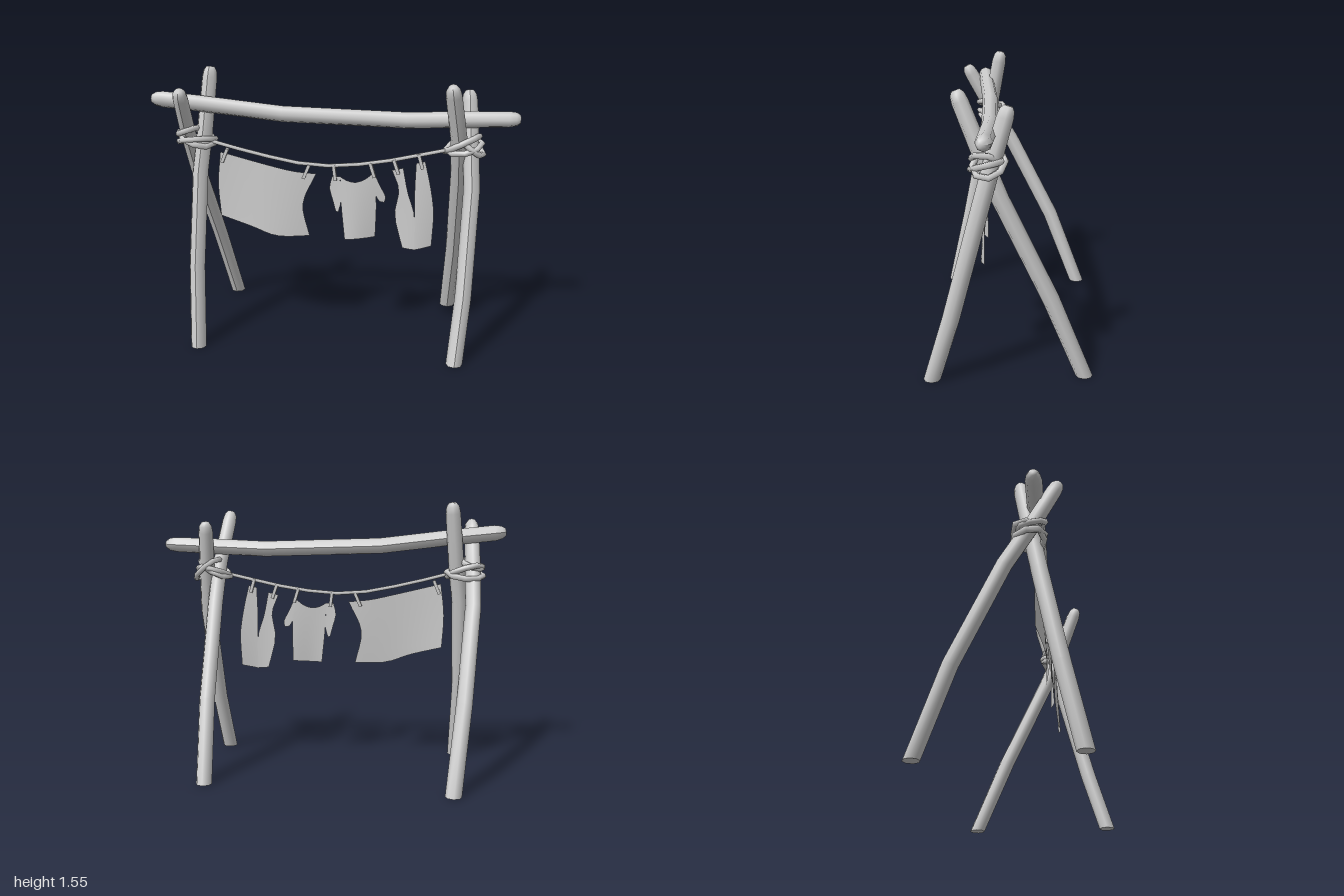
import * as THREE from 'three';

const V = (p) => new THREE.Vector3(...p);
const material = new THREE.MeshStandardMaterial({ color: 0xcccccc });
const clothMaterial = new THREE.MeshStandardMaterial({ color: 0xcccccc, side: THREE.DoubleSide });

function addMesh(parent, name, geometry, mat = material) {
  const mesh = new THREE.Mesh(geometry, mat);
  mesh.name = name;
  parent.add(mesh);
  return mesh;
}

// Grid of points (rows x cols) to a smooth surface
function gridGeometry(rows) {
  const cols = rows[0].length, index = [];
  for (let i = 0; i < rows.length - 1; i++) {
    for (let j = 0; j < cols - 1; j++) {
      const a = i * cols + j, b = a + 1, c = a + cols, d = c + 1;
      index.push(a, c, b, b, c, d);
    }
  }
  const geo = new THREE.BufferGeometry().setFromPoints(rows.flat());
  geo.setIndex(index);
  geo.computeVertexNormals();
  return geo;
}

// Bent eight-sided log; rounded tip at the end, flat foot or rounded tip at the start
function logGeometry(points, radius, flatFoot) {
  const pts = points.map(V), n = pts.length, rings = [];
  const ring = (center, dir, r) => {
    const ref = Math.abs(dir.y) > 0.7 ? V([1, 0, 0]) : V([0, 1, 0]);
    const u = ref.clone().cross(dir).normalize(), w = dir.clone().cross(u).normalize();
    const out = [];
    for (let k = 0; k <= 8; k++) {
      const a = -k / 8 * Math.PI * 2;
      out.push(center.clone().addScaledVector(u, r * Math.cos(a)).addScaledVector(w, r * Math.sin(a)));
    }
    rings.push(out);
  };
  const dirAt = (i) => pts[Math.min(i + 1, n - 1)].clone().sub(pts[Math.max(i - 1, 0)]).normalize();
  const tip = [[0, 0], [0, 0.5], [0.022, 0.82]];
  const first = flatFoot ? V([0, 1, 0]) : dirAt(0), last = dirAt(n - 1);
  if (flatFoot) {
    for (const r of [0, radius, radius]) ring(pts[0], first, r);
  } else {
    for (const [d, s] of tip) ring(pts[0].clone().addScaledVector(first, d), first, radius * s);
    ring(pts[0].clone().addScaledVector(first, 0.06), first, radius);
  }
  for (let i = 1; i < n - 1; i++) ring(pts[i], dirAt(i), radius);
  ring(pts[n - 1].clone().addScaledVector(last, -0.06), last, radius * 0.95);
  for (const [d, s] of tip.slice().reverse()) ring(pts[n - 1].clone().addScaledVector(last, -d), last, radius * s);
  return gridGeometry(rings);
}

function rope(points, radius, segments, closed) {
  const curve = new THREE.CatmullRomCurve3(points.map(V), closed);
  return new THREE.TubeGeometry(curve, segments, radius, 6, closed);
}

// Cloth lofted through outline curves listed top to bottom, each from -x to +x
function clothGeometry(curves, depth, nu = 8, nv = 8) {
  const splines = curves.map((c) => new THREE.CatmullRomCurve3(c.map(([x, y]) => V([x, y, 0]))));
  const rows = Array.from({ length: nv + 1 }, () => []);
  for (let j = 0; j <= nu; j++) {
    const column = new THREE.CatmullRomCurve3(splines.map((s) => s.getPoint(j / nu)));
    for (let i = 0; i <= nv; i++) {
      const p = column.getPoint(i / nv);
      p.z = depth(p.x, p.y);
      rows[i].push(p);
    }
  }
  return gridGeometry(rows);
}

export function createModel() {
  const model = new THREE.Group();
  model.name = 'clothesDryingRack';

  // Crossed support poles
  const poles = {
    rightFrontPole: [[-0.745, 0, 0.385], [-0.76, 0.45, 0.285], [-0.745, 0.98, 0.18], [-0.72, 1.2, 0.14], [-0.69, 1.55, 0.075]],
    rightBackPole: [[-0.71, 0, -0.435], [-0.765, 0.46, -0.255], [-0.815, 0.97, 0.01], [-0.815, 1.2, 0.155], [-0.81, 1.45, 0.295]],
    leftFrontPole: [[0.7, 0, 0.43], [0.735, 0.35, 0.325], [0.76, 0.92, 0.175], [0.745, 1.18, 0.105], [0.73, 1.44, 0.03]],
    leftBackPole: [[0.665, 0, -0.365], [0.685, 0.44, -0.185], [0.69, 0.97, 0.07], [0.68, 1.2, 0.165], [0.635, 1.5, 0.285]],
  };
  for (const [name, pts] of Object.entries(poles)) addMesh(model, name, logGeometry(pts, 0.045, true));

  // Sagging crossbar
  addMesh(model, 'crossbar', logGeometry([[-1, 1.385, 0.18], [-0.75, 1.36, 0.165], [-0.28, 1.305, 0.135],
    [0.4, 1.285, 0.125], [0.75, 1.3, 0.135], [1, 1.31, 0.145]], 0.045, false));

  // Rope lashings: tilted loops around each crossing [center, x radius, z radius, x slope, z slope]
  const lashings = [
    [[-0.77, 1.145, 0.13], 0.105, 0.085, 0.1, 0.25],
    [[-0.77, 1.16, 0.13], 0.1, 0.08, -0.3, -0.3],
    [[-0.81, 1.2, 0.15], 0.06, 0.07, 0.35, 0.2],
    [[0.7, 1.165, 0.13], 0.09, 0.08, 0.5, 0.2],
    [[0.745, 1.165, 0.125], 0.07, 0.08, -0.8, -0.2],
    [[0.71, 1.15, 0.13], 0.095, 0.085, 0.2, -0.25],
  ];
  lashings.forEach(([[cx, cy, cz], rx, rz, sx, sz], i) => {
    const pts = Array.from({ length: 8 }, (_, k) => {
      const x = rx * Math.cos(k * Math.PI / 4), z = rz * Math.sin(k * Math.PI / 4);
      return [cx + x, cy + sx * x + sz * z, cz + z];
    });
    addMesh(model, `lashing${i + 1}`, rope(pts, 0.017, 8, true));
  });

  // Washing line
  addMesh(model, 'washingLine', rope([[-0.7, 1.15, 0.15], [-0.4, 1.075, 0.15], [-0.1, 1.025, 0.15],
    [0.2, 1.045, 0.15], [0.65, 1.14, 0.15]], 0.011, 8, false));

  // Clothes pegs: [x, y, tilt]
  const pegs = [[-0.61, 1.065, -0.4], [-0.15, 0.987, -0.4], [0.008, 0.985, 0.12],
    [0.217, 1.008, 0.3], [0.348, 1.03, 0.33], [0.48, 1.065, 0.28]];
  pegs.forEach(([x, y, tilt], i) => {
    const peg = addMesh(model, `peg${i + 1}`, new THREE.BoxGeometry(0.018, 0.085, 0.03));
    peg.position.set(x, y, 0.15);
    peg.rotation.z = tilt;
  });

  // Hanging sheet
  const sheetDepth = (x, y) => 0.15 + 0.03 * Math.sin((x + 0.62) * 6.5) * (1.15 - y) / 0.5;
  addMesh(model, 'sheet', clothGeometry([
    [[-0.635, 1.085], [-0.39, 1.025], [-0.22, 0.987], [-0.095, 0.975]],
    [[-0.655, 0.9], [-0.42, 0.84], [-0.25, 0.81], [-0.17, 0.8]],
    [[-0.645, 0.71], [-0.46, 0.66], [-0.32, 0.612], [-0.135, 0.61]],
  ], sheetDepth, 10), clothMaterial);

  // Shirt: body and two sleeves
  const shirt = new THREE.Group();
  shirt.name = 'shirt';
  model.add(shirt);
  const shirtDepth = (x, y) => 0.15 + 0.022 * Math.sin((x + 0.02) * 14) * (1.05 - y) / 0.4;
  addMesh(shirt, 'shirtBody', clothGeometry([
    [[0.04, 0.965], [0.075, 0.945], [0.125, 0.935], [0.18, 0.955], [0.215, 0.985]],
    [[0.045, 0.82], [0.1, 0.81], [0.15, 0.81], [0.2, 0.82], [0.24, 0.85]],
    [[0.067, 0.605], [0.12, 0.607], [0.16, 0.61], [0.2, 0.613], [0.237, 0.617]],
  ], shirtDepth), clothMaterial);
  addMesh(shirt, 'rightSleeve', clothGeometry([
    [[-0.005, 0.965], [0.04, 0.965]],
    [[-0.02, 0.9], [0.042, 0.88]],
    [[0.0, 0.82], [0.045, 0.82]],
    [[0.015, 0.765], [0.03, 0.76]],
  ], shirtDepth, 3), clothMaterial);
  addMesh(shirt, 'leftSleeve', clothGeometry([
    [[0.215, 0.985], [0.23, 0.985]],
    [[0.232, 0.9], [0.265, 0.91]],
    [[0.238, 0.86], [0.293, 0.85]],
    [[0.258, 0.825], [0.285, 0.82]],
  ], shirtDepth, 3), clothMaterial);

  // Trousers hung by the cuffs, waist down
  const trousers = new THREE.Group();
  trousers.name = 'trousers';
  model.add(trousers);
  const trouserDepth = (x, y) => 0.15 + 0.025 * Math.sin((x - 0.33) * 13) * (1.1 - y) / 0.5;
  addMesh(trousers, 'rightTrouserHalf', clothGeometry([
    [[0.325, 1.01], [0.387, 1.025]],
    [[0.365, 0.9], [0.415, 0.89]],
    [[0.345, 0.76], [0.455, 0.76]],
    [[0.392, 0.567], [0.46, 0.56]],
  ], trouserDepth, 4), clothMaterial);
  addMesh(trousers, 'leftTrouserHalf', clothGeometry([
    [[0.457, 1.055], [0.505, 1.065]],
    [[0.453, 0.92], [0.535, 0.94]],
    [[0.455, 0.76], [0.56, 0.78]],
    [[0.46, 0.56], [0.553, 0.58]],
  ], trouserDepth, 4), clothMaterial);

  return model;
}
